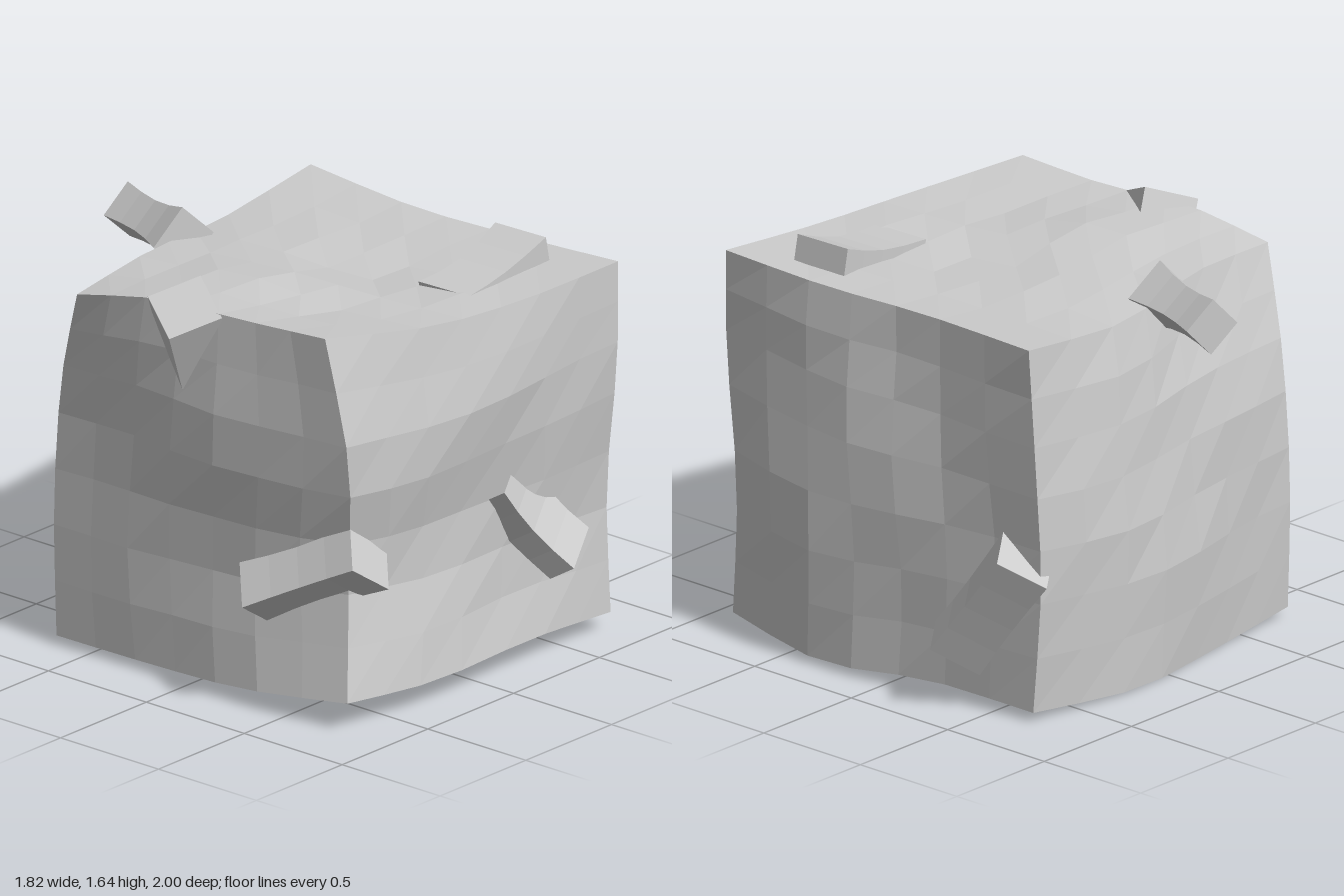
import * as THREE from 'three';

const V = (p) => new THREE.Vector3(...p);
const lerp = THREE.MathUtils.lerp;

// corners of the block, keyed by x y z (0 = low side, 1 = high side)
const corners = {
  '000': [-0.77, 0.05, -0.66], '100': [0.72, 0.05, -0.69],
  '001': [-0.73, 0.13, 0.79], '101': [0.76, 0.08, 0.83],
  '010': [-0.81, 1.505, -0.52], '110': [0.735, 1.545, -0.68],
  '011': [-0.70, 1.59, 0.65], '111': [0.735, 1.55, 0.89],
};
// two inner points for each of the twelve wavy edges
const edgePoints = [
  ['000', '100', [-0.33, 0.015, -0.69], [0.2, 0.02, -0.76]],
  ['001', '101', [-0.3, 0.11, 0.85], [0.3, 0.11, 0.84]],
  ['010', '110', [-0.33, 1.53, -0.57], [0.15, 1.49, -0.65]],
  ['011', '111', [-0.22, 1.54, 0.79], [0.25, 1.53, 0.85]],
  ['000', '010', [-0.75, 0.57, -0.69], [-0.74, 1.1, -0.66]],
  ['001', '011', [-0.63, 0.6, 0.71], [-0.7, 1.1, 0.77]],
  ['100', '110', [0.72, 0.58, -0.73], [0.73, 1.08, -0.71]],
  ['101', '111', [0.76, 0.58, 0.81], [0.73, 1.16, 0.89]],
  ['000', '001', [-0.76, 0.05, -0.2], [-0.78, 0.08, 0.3]],
  ['100', '101', [0.77, 0.07, -0.2], [0.84, 0.04, 0.3]],
  ['010', '011', [-0.77, 1.57, -0.15], [-0.72, 1.57, 0.25]],
  ['110', '111', [0.69, 1.53, -0.1], [0.72, 1.53, 0.4]],
];
const edges = edgePoints.map(([a, b, p, q]) => ({
  a, axis: [0, 1, 2].find((i) => a[i] !== b[i]),
  curve: new THREE.CatmullRomCurve3([V(corners[a]), V(p), V(q), V(corners[b])]),
}));

// weight of a corner key at t, ignoring one axis
function weight(key, t, skip = -1) {
  let w = 1;
  for (let i = 0; i < 3; i++) if (i !== skip) w *= key[i] === '1' ? t[i] : 1 - t[i];
  return w;
}

// blends the twelve edges into the faces
function blockPoint(t) {
  const p = new THREE.Vector3();
  for (const e of edges) {
    const w = weight(e.a, t, e.axis);
    if (w > 0) p.addScaledVector(e.curve.getPoint(t[e.axis]), w);
  }
  for (const key in corners) p.addScaledVector(V(corners[key]), -2 * weight(key, t));
  return p;
}

// wavy block: each face gets a broad swell and small lumps that fade at its rim
function makeBlock(material) {
  const swell = [[0.05, 0.04], [0.01, 0.005], [0, -0.015]]; // low, high side per axis
  const geo = new THREE.BoxGeometry(1, 1, 1, 7, 7, 7);
  const pos = geo.attributes.position, nor = geo.attributes.normal;
  for (let i = 0; i < pos.count; i++) {
    const t = [pos.getX(i) + 0.5, pos.getY(i) + 0.5, pos.getZ(i) + 0.5];
    const n = [nor.getX(i), nor.getY(i), nor.getZ(i)];
    const axis = n.findIndex((c) => Math.abs(c) > 0.5);
    const u = t[(axis + 1) % 3], v = t[(axis + 2) % 3];
    const fade = Math.sin(Math.PI * u) * Math.sin(Math.PI * v);
    const lumps = 0.01 * Math.sin(9 * u + 5 * v + axis * 2 + n[axis])
      + 0.011 * Math.sin(13 * v - 8 * u + axis);
    const out = fade * swell[axis][n[axis] > 0 ? 1 : 0] + Math.sqrt(Math.max(fade, 0)) * lumps;
    const p = blockPoint(t).addScaledVector(V(n), out);
    pos.setXYZ(i, p.x, p.y, p.z);
  }
  geo.computeVertexNormals();
  const mesh = new THREE.Mesh(geo, material);
  mesh.name = 'wavyBlock';
  return mesh;
}

// short bar from a to b, pinched and bowed along its length
function makeChunk(material, { name, a, b, w, t, up, bow = 0, pinch = 0, taper = 1 }) {
  const start = V(a), dir = V(b).sub(start), length = dir.length();
  const z = dir.normalize();
  const x = V(up).cross(z).normalize();
  const y = z.clone().cross(x);
  const geo = new THREE.BoxGeometry(w, t, length, 1, 1, 4);
  const pos = geo.attributes.position;
  for (let i = 0; i < pos.count; i++) {
    const s = pos.getZ(i) / length + 0.5;
    const wave = Math.sin(Math.PI * s);
    const k = lerp(taper, 1, s) * (1 - pinch * wave);
    pos.setXYZ(i, pos.getX(i) * k, pos.getY(i) * k + bow * wave, s * length);
  }
  geo.applyMatrix4(new THREE.Matrix4().makeBasis(x, y, z).setPosition(start));
  geo.computeVertexNormals();
  const mesh = new THREE.Mesh(geo, material);
  mesh.name = name;
  return mesh;
}

const chunks = [
  { name: 'topEdgeChunk', a: [-0.6, 1.25, -0.07], b: [-0.775, 1.575, 0], w: 0.22, t: 0.24, up: [0.4, 0.4, -0.8] },
  { name: 'frontCornerChunk', a: [-0.72, 0.46, 0.33], b: [-0.59, 0.69, 0.78], w: 0.19, t: 0.24, up: [-0.75, 0.6, 0.1], pinch: 0.1 },
  { name: 'frontChunk', a: [0.21, 0.79, 0.74], b: [0.44, 0.435, 0.9], w: 0.24, t: 0.12, up: [0.16, 0.58, 0.81], bow: -0.025, pinch: 0.1, taper: 1.25 },
  { name: 'topChunk', a: [0.12, 1.47, 0.55], b: [0.59, 1.57, 0.53], w: 0.25, t: 0.13, up: [0, 1, 0], bow: -0.02, pinch: 0.1 },
  { name: 'sideChunk', a: [0.75, 0.25, -0.33], b: [0.72, 0.68, -0.65], w: 0.22, t: 0.22, up: [1, -0.5, -0.63], pinch: 0.04 },
  { name: 'backChunk', a: [-0.12, 1.51, -0.58], b: [0, 1.505, -0.965], w: 0.16, t: 0.16, up: [0.9, 1, 0.25], pinch: 0.2, taper: 1.2 },
];

export function createModel() {
  const group = new THREE.Group();
  group.name = 'lumpyBlock';
  const material = new THREE.MeshStandardMaterial({ color: 0xcccccc, flatShading: true });
  group.add(makeBlock(material));
  for (const c of chunks) group.add(makeChunk(material, c));
  return group;
}
